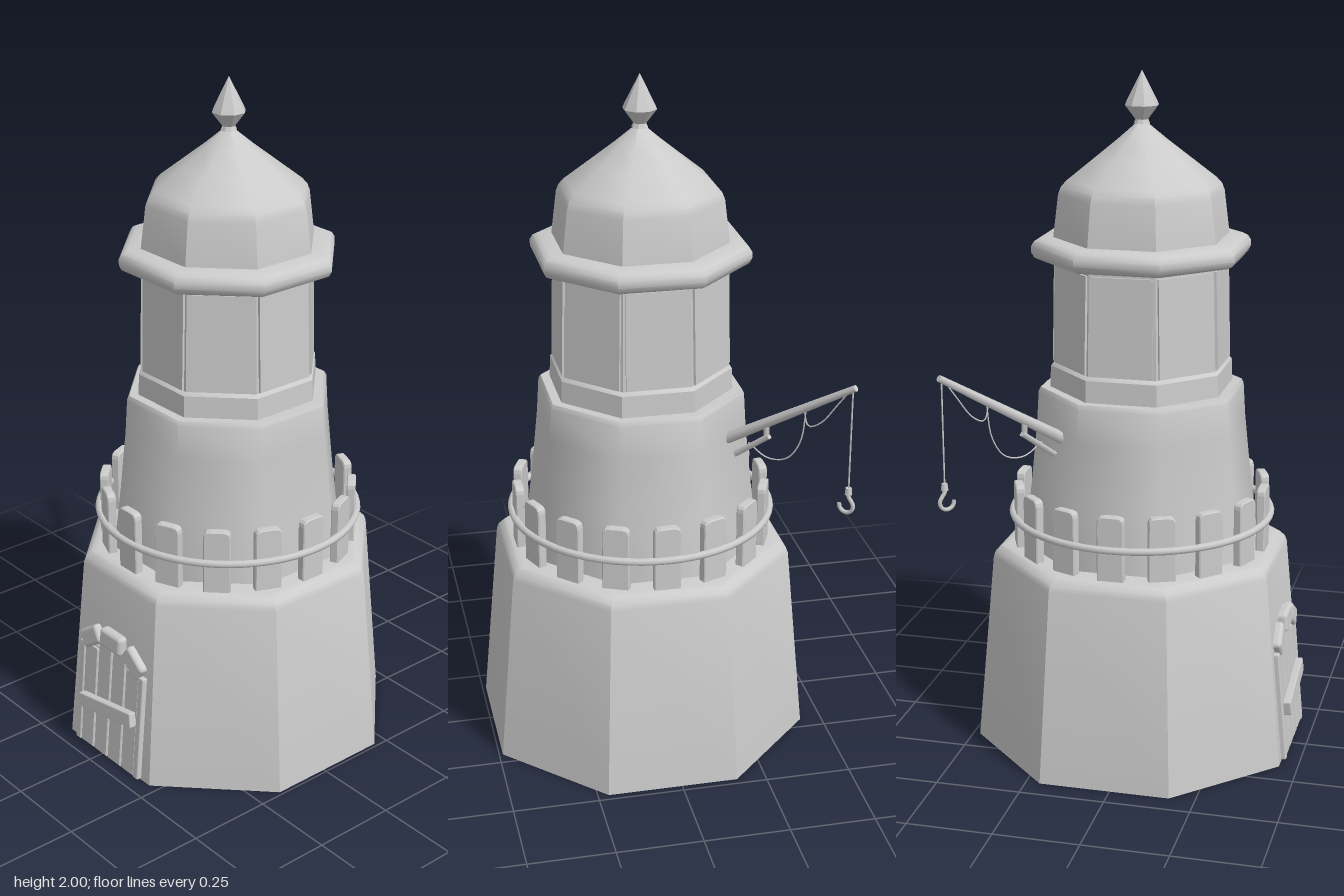
import * as THREE from 'three';
import { toCreasedNormals } from 'three/addons/utils/BufferGeometryUtils.js';
import { RoundedBoxGeometry } from 'three/addons/geometries/RoundedBoxGeometry.js';

const mat = new THREE.MeshStandardMaterial({ color: 0xcccccc, side: THREE.DoubleSide });
const V = (x, y, z) => new THREE.Vector3(x, y, z);

function add(parent, name, geometry, x = 0, y = 0, z = 0) {
  const mesh = new THREE.Mesh(geometry, mat);
  mesh.name = name;
  mesh.position.set(x, y, z);
  parent.add(mesh);
  return mesh;
}

// eight-sided solid from [apothem, height] pairs, listed bottom to top
function octagon(profile, crease = 0.6) {
  const k = 1 / Math.cos(Math.PI / 8);
  const points = profile.map(([a, y]) => new THREE.Vector2(a * k, y));
  return toCreasedNormals(new THREE.LatheGeometry(points, 8, Math.PI / 8), crease);
}

// plank with clipped upper corners, standing on y = 0 and facing +z
function plank(w, h, depth, clip) {
  const s = new THREE.Shape();
  s.moveTo(-w / 2, 0);
  s.lineTo(w / 2, 0);
  s.lineTo(w / 2, h - clip);
  s.quadraticCurveTo(w / 2, h, w / 2 - clip, h);
  s.lineTo(-w / 2 + clip, h);
  s.quadraticCurveTo(-w / 2, h, -w / 2, h - clip);
  const b = 0.003;
  return new THREE.ExtrudeGeometry(s, {
    depth: depth - 2 * b, bevelEnabled: true, bevelSize: b, bevelOffset: -b,
    bevelThickness: b, bevelSegments: 1, curveSegments: 3,
  }).translate(0, 0, -depth / 2 + b);
}

// straight bar between two points
function bar(parent, name, a, b, ra, rb, sides) {
  const mesh = add(parent, name, new THREE.CylinderGeometry(rb, ra, a.distanceTo(b), sides));
  mesh.position.copy(a).lerp(b, 0.5);
  mesh.quaternion.setFromUnitVectors(V(0, 1, 0), b.clone().sub(a).normalize());
  return mesh;
}

function tube(points, r, segments) {
  return new THREE.TubeGeometry(new THREE.CatmullRomCurve3(points), segments, r, 6);
}

function buildTower() {
  const tower = new THREE.Group();
  tower.name = 'tower';
  add(tower, 'baseStorey', octagon([[0, 0], [0.4625, 0], [0.412, 0.575], [0.406, 0.592], [0.39, 0.608], [0.37, 0.612], [0, 0.612]]));
  add(tower, 'middleStorey', octagon([[0, 0.6], [0.327, 0.6], [0.304, 0.8], [0.287, 0.98], [0.281, 1.08], [0.275, 1.092], [0, 1.092]], 0.85));
  add(tower, 'lanternSill', octagon([[0.25, 1.08], [0.247, 1.155], [0.238, 1.165], [0, 1.165]]));
  add(tower, 'lanternRoom', octagon([[0.238, 1.15], [0.23, 1.48]]));
  add(tower, 'roofRing', octagon([[0.22, 1.468], [0.275, 1.468], [0.288, 1.475], [0.295, 1.49], [0.295, 1.508], [0.287, 1.522], [0.272, 1.53], [0.22, 1.533]], 0.75));
  add(tower, 'roof', octagon([[0.237, 1.525], [0.222, 1.655], [0.215, 1.675], [0.2, 1.693], [0.13, 1.752], [0.065, 1.807], [0.012, 1.855], [0, 1.86]], 0.7));
  add(tower, 'finial', octagon([[0, 1.85], [0.022, 1.85], [0.017, 1.862], [0.045, 1.902], [0.04, 1.915], [0, 2]], 0.3));

  // window panels, one on each lantern face
  for (let i = 0; i < 8; i++) {
    const side = new THREE.Group();
    side.name = 'window';
    side.rotation.y = i * Math.PI / 4;
    const panel = add(side, 'windowPanel', new THREE.BoxGeometry(0.18, 0.285, 0.012), 0, 1.31, 0.235);
    panel.rotation.x = -0.024;
    tower.add(side);
  }
  return tower;
}

function buildFence() {
  const fence = new THREE.Group();
  fence.name = 'fence';
  const slat = plank(0.078, 0.195, 0.026, 0.02);
  for (let i = 0; i < 16; i++) {
    const a = i * Math.PI / 8;
    const post = add(fence, 'fencePlank', slat, 0.366 * Math.sin(a), 0.606, 0.366 * Math.cos(a));
    post.rotation.y = a;
  }
  const rail = add(fence, 'fenceRail', new THREE.TorusGeometry(0.384, 0.011, 8, 64), 0, 0.705, 0);
  rail.rotation.x = Math.PI / 2;
  return fence;
}

function buildDoor() {
  const door = new THREE.Group();
  door.name = 'door';
  door.position.set(0, 0, 0.4625);
  door.rotation.x = -0.0876;
  // vertical boards, taller toward the middle
  [[-0.099, 0.335], [-0.033, 0.375], [0.033, 0.375], [0.099, 0.335]].forEach(([x, h]) =>
    add(door, 'doorBoard', plank(0.06, h, 0.024, 0.006), x, 0.002, 0));
  add(door, 'doorBacking', new THREE.BoxGeometry(0.27, 0.34, 0.012), 0, 0.172, 0);
  for (const s of [-1, 1]) {
    add(door, 'doorJamb', new RoundedBoxGeometry(0.024, 0.335, 0.03, 2, 0.005), s * 0.14, 0.169, 0);
    const stone = add(door, 'sideStone', new RoundedBoxGeometry(0.09, 0.058, 0.046, 2, 0.012), s * 0.1, 0.367, 0);
    stone.rotation.z = -s * 0.6;
  }
  add(door, 'keystone', new RoundedBoxGeometry(0.1, 0.06, 0.054, 2, 0.013), 0, 0.393, 0);
  const brace = add(door, 'doorBrace', new RoundedBoxGeometry(0.248, 0.045, 0.024, 2, 0.004), 0.003, 0.172, 0.022);
  brace.rotation.z = 0.17;
  return door;
}

function buildCrane() {
  const crane = new THREE.Group();
  crane.name = 'crane';
  const root = V(-0.18, 0.965, -0.19), tip = V(-0.48, 1.21, -0.462);
  const at = (t, drop = 0) => root.clone().lerp(tip, t).add(V(0, -drop, 0));
  bar(crane, 'boom', root, tip, 0.018, 0.01, 6);
  bar(crane, 'boomBracket', at(0.1, 0.06), at(0.36, 0.045), 0.011, 0.011, 4);
  bar(crane, 'bracketPost', at(0.34, 0.05), at(0.34), 0.009, 0.009, 4);
  // slack rope looping beneath the boom
  add(crane, 'slackRope', tube([at(0.96), at(0.87, 0.03), at(0.75, 0.065), at(0.66, 0.06), at(0.62, 0)], 0.0022, 20));
  add(crane, 'slackRope', tube([at(0.64), at(0.6, 0.1), at(0.5, 0.135), at(0.35, 0.11), at(0.2, 0.04)], 0.0022, 20));
  const end = at(0.98);
  bar(crane, 'hangingRope', V(end.x, 0.9, end.z), end, 0.0025, 0.0025, 6);
  // hook curling back toward the tower
  const hook = new THREE.Group();
  hook.name = 'hook';
  hook.position.set(end.x, 0.852, end.z);
  hook.rotation.y = -Math.PI / 4;
  const path = [V(0, 0.05, 0), V(0, 0.03, 0)];
  for (let i = 0; i <= 6; i++) {
    const a = 2.3 + i * 0.68;
    path.push(V(0.006 + 0.022 * Math.cos(a), 0.022 * Math.sin(a), 0));
  }
  add(hook, 'hookCurve', tube(path, 0.006, 28));
  add(hook, 'hookEye', new THREE.CylinderGeometry(0.009, 0.011, 0.02, 8), 0, 0.045, 0);
  crane.add(hook);
  return crane;
}

export function createModel() {
  const model = new THREE.Group();
  model.name = 'lighthouse';
  // the tower sits a little off centre to balance the crane
  const body = new THREE.Group();
  body.name = 'body';
  body.position.set(0.027, 0, -0.017);
  body.add(buildTower(), buildFence(), buildDoor());
  model.add(body, buildCrane());
  return model;
}
